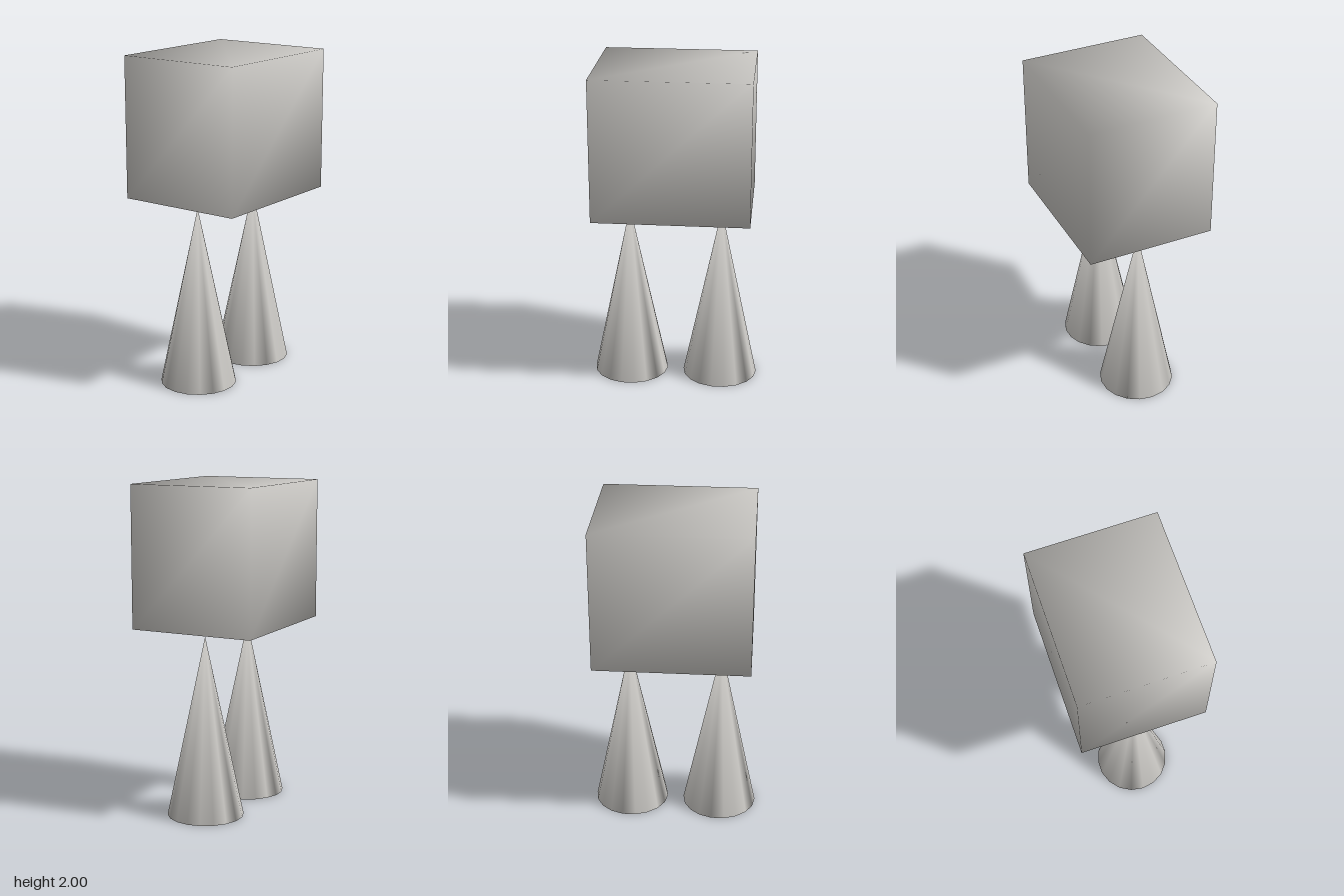
import * as THREE from 'three';
import { mergeVertices, mergeGeometries } from 'three/addons/utils/BufferGeometryUtils.js';

const SIDES = 18;
const LEG_RADIUS = 0.232;
const LEG_HEIGHT = 1.1;

// Weld shared corners so shading runs smoothly across every edge.
function smooth(geometry) {
  geometry.deleteAttribute('normal');
  geometry.deleteAttribute('uv');
  const welded = mergeVertices(geometry, 1e-4);
  welded.computeVertexNormals();
  return welded;
}

// Cone standing on y = 0, closed by a single flat polygon.
function legGeometry() {
  const side = new THREE.ConeGeometry(LEG_RADIUS, LEG_HEIGHT, SIDES, 1, true);
  side.rotateY(Math.PI / 2).translate(0, LEG_HEIGHT / 2, 0);
  const rim = Array.from({ length: SIDES }, (_, i) => {
    const a = (i / SIDES) * Math.PI * 2;
    return new THREE.Vector2(Math.cos(a) * LEG_RADIUS, Math.sin(a) * LEG_RADIUS);
  });
  const base = new THREE.ShapeGeometry(new THREE.Shape(rim)).rotateX(Math.PI / 2);
  return smooth(mergeGeometries([side, base]));
}

export function createModel() {
  const model = new THREE.Group();
  model.name = 'model';
  const lightGrey = new THREE.MeshStandardMaterial({ color: 0xcccac6 });
  lightGrey.name = 'lightGrey';

  // Block floating just above the cone tips
  const body = new THREE.Mesh(smooth(new THREE.BoxGeometry(0.938, 0.86, 0.78)), lightGrey);
  body.name = 'body';
  body.position.y = 1.57;
  model.add(body);

  // Pair of cone legs
  const geometry = legGeometry();
  for (const [name, sign] of [['leftLeg', 1], ['rightLeg', -1]]) {
    const leg = new THREE.Mesh(geometry, lightGrey);
    leg.name = name;
    leg.position.x = sign * 0.283;
    model.add(leg);
  }
  return model;
}
